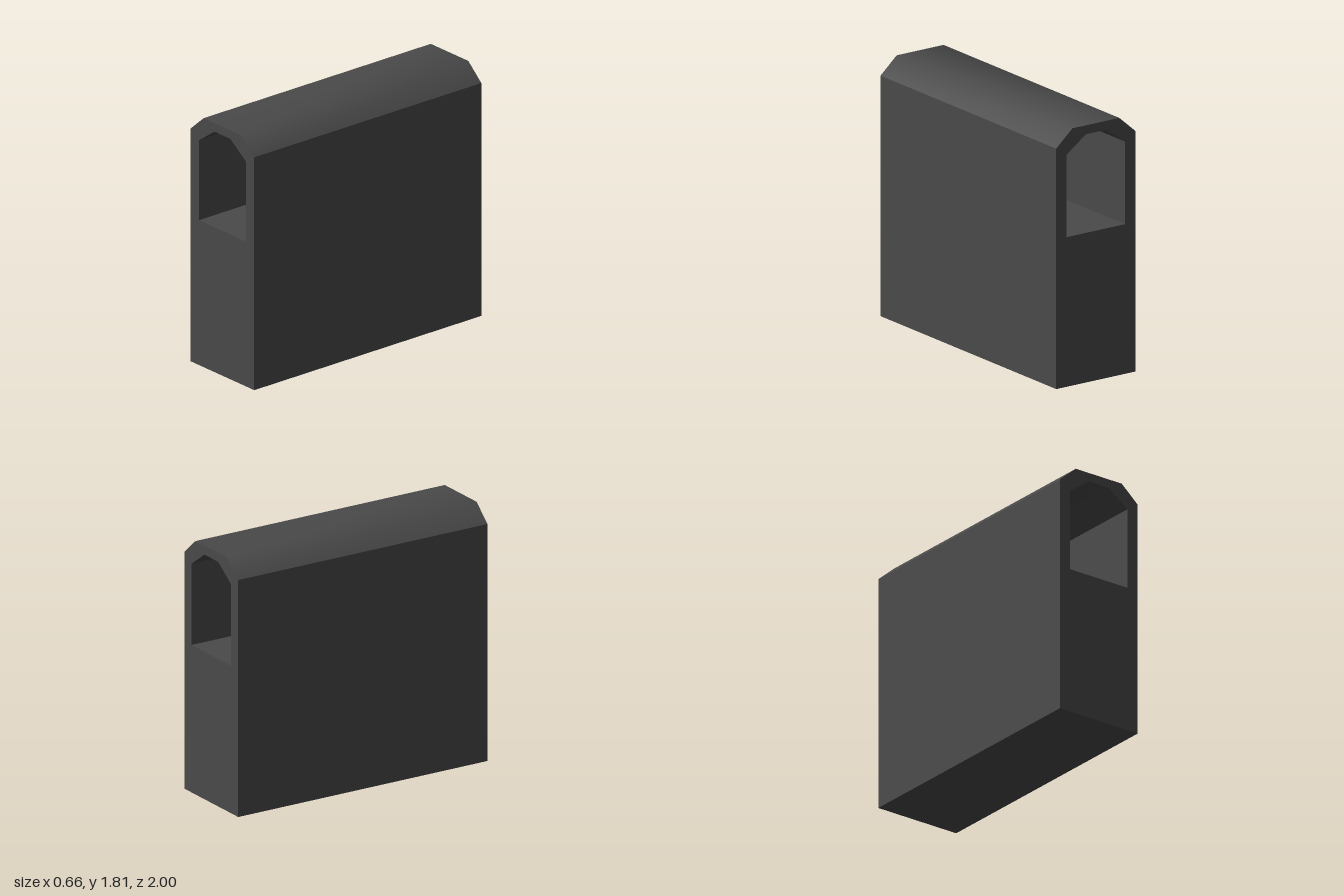
import * as THREE from 'three';
import { toCreasedNormals } from 'three/addons/utils/BufferGeometryUtils.js';

// Symmetric outline: flat base, straight sides, chamfered top
function archPoints(halfWidth, base, shoulder, halfTop, top) {
  const right = [[halfWidth, base], [halfWidth, shoulder], [halfTop, top]];
  const left = right.map(([x, y]) => [-x, y]).reverse();
  return [...right, ...left].map(([x, y]) => new THREE.Vector2(x, y));
}

export function createModel() {
  const group = new THREE.Group();
  group.name = 'tunnelBlock';

  const darkGrey = new THREE.MeshStandardMaterial({ color: 0x4a4a4a });
  darkGrey.name = 'darkGrey';

  // Tall block with a passage running through its full length
  const depth = 2;
  const profile = new THREE.Shape(archPoints(0.33, 0, 1.695, 0.195, 1.813));
  profile.holes.push(new THREE.Path(archPoints(0.243, 1.055, 1.637, 0.083, 1.75)));
  const geometry = new THREE.ExtrudeGeometry(profile, { depth, bevelEnabled: false });
  geometry.translate(0, 0, -depth / 2);

  // Soft shading across the roof, sharp edges everywhere else
  const body = new THREE.Mesh(toCreasedNormals(geometry, THREE.MathUtils.degToRad(45)), darkGrey);
  body.name = 'hollowBody';
  group.add(body);

  return group;
}
